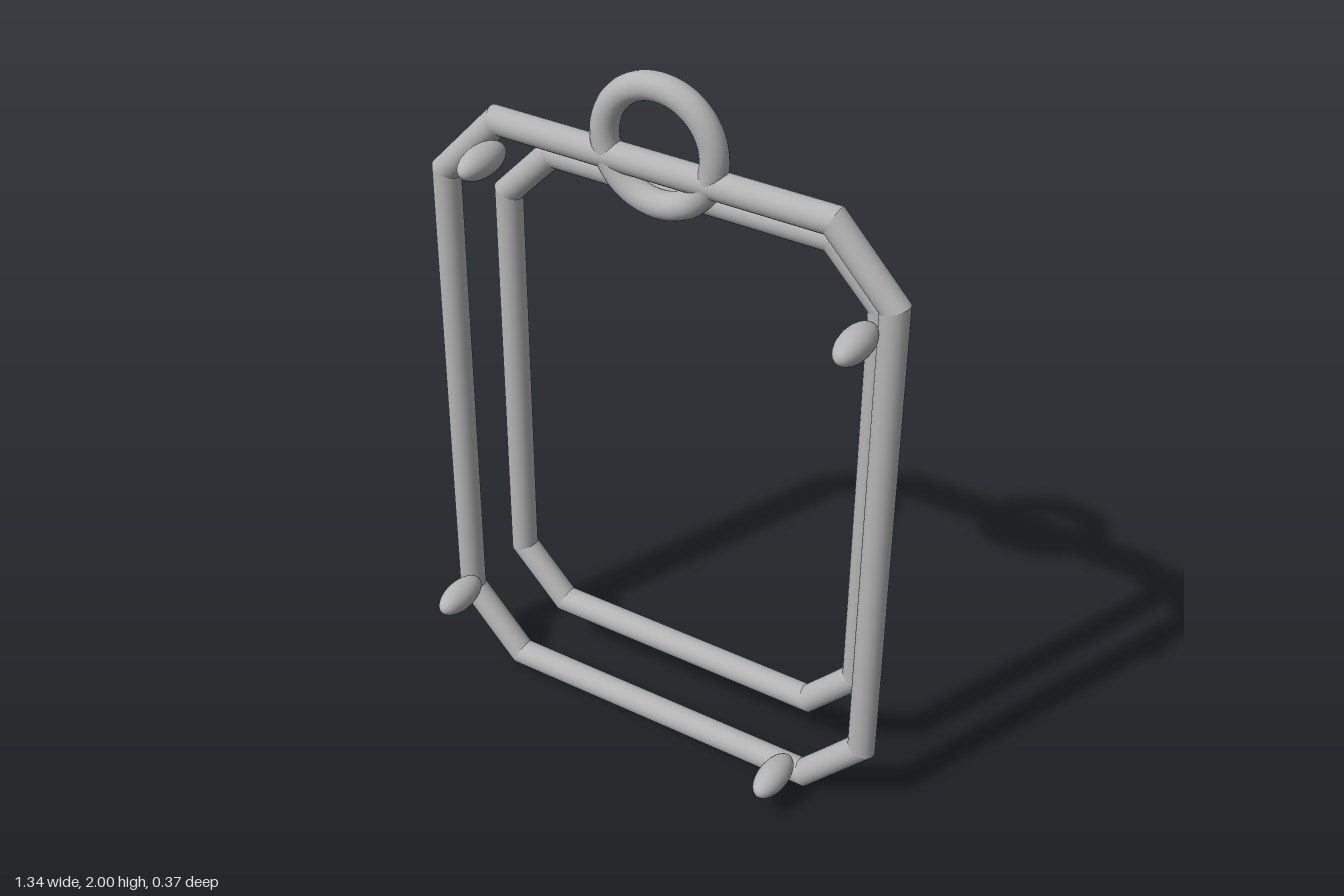
import * as THREE from 'three';
import { mergeGeometries } from 'three/addons/utils/BufferGeometryUtils.js';

const TUBE = 0.037;
const MID_Y = 0.896;

// Closed round-bar frame through counter-clockwise points, with mitred corners
function mitredFrame(points) {
  const n = points.length;
  const at = (i) => points[(i + n) % n];
  const direction = (i) => at(i + 1).clone().sub(at(i)).normalize();
  const halfTurn = (i) => {
    const a = direction(i - 1), b = direction(i);
    return Math.atan2(a.cross(b), a.dot(b)) / 2;
  };
  const bars = points.map((p, i) => {
    const q = at(i + 1), d = direction(i);
    const bar = new THREE.CylinderGeometry(TUBE, TUBE, p.distanceTo(q), 24, 1, true);
    const pos = bar.attributes.position;
    // slant both ends so neighbouring bars meet on the bisecting plane
    for (let k = 0; k < pos.count; k++) {
      const x = pos.getX(k), y = pos.getY(k);
      const slant = y > 0 ? Math.tan(halfTurn(i + 1)) : -Math.tan(halfTurn(i));
      pos.setY(k, y + x * slant);
    }
    bar.rotateZ(Math.atan2(-d.x, d.y));
    return bar.translate((p.x + q.x) / 2, (p.y + q.y) / 2, 0);
  });
  return mergeGeometries(bars);
}

// Rectangle with cut corners: half sizes w, h and the ends a, b of the straight sides
function cutRectangle(w, h, a, b) {
  return [
    [w, -b], [w, b], [a, h], [-a, h], [-w, b], [-w, -b], [-a, -h], [a, -h],
  ].map(([x, y]) => new THREE.Vector2(x, y));
}

export function createModel() {
  const model = new THREE.Group();
  const metal = new THREE.MeshStandardMaterial({ color: 0xb4b4b4 });
  metal.name = 'grey metal';

  const add = (name, geometry, x, y, z) => {
    const mesh = new THREE.Mesh(geometry, metal);
    mesh.name = name;
    mesh.position.set(x, y, z);
    model.add(mesh);
    return mesh;
  };

  // Two frames, one behind the other
  add('outerFrame', mitredFrame(cutRectangle(0.635, 0.859, 0.468, 0.68)), 0, MID_Y, -0.012);
  add('innerFrame', mitredFrame(cutRectangle(0.542, 0.727, 0.402, 0.581)), 0, MID_Y + 0.002, -0.147);

  // Hanging ring around the top bar
  add('hangingRing', new THREE.TorusGeometry(0.152, 0.036, 20, 64), 0, 1.812, -0.012);

  // Oval studs pointing forward at the cut corners
  const studShape = new THREE.SphereGeometry(1, 28, 18).rotateX(Math.PI / 2).scale(0.041, 0.041, 0.085);
  const studs = [
    ['studTopRight', -0.436, 1.702],
    ['studTopLeft', 0.595, 1.529],
    ['studBottomRight', -0.596, 0.27],
    ['studBottomLeft', 0.435, 0.098],
  ];
  for (const [name, x, y] of studs) add(name, studShape, x, y, 0.1);

  return model;
}
